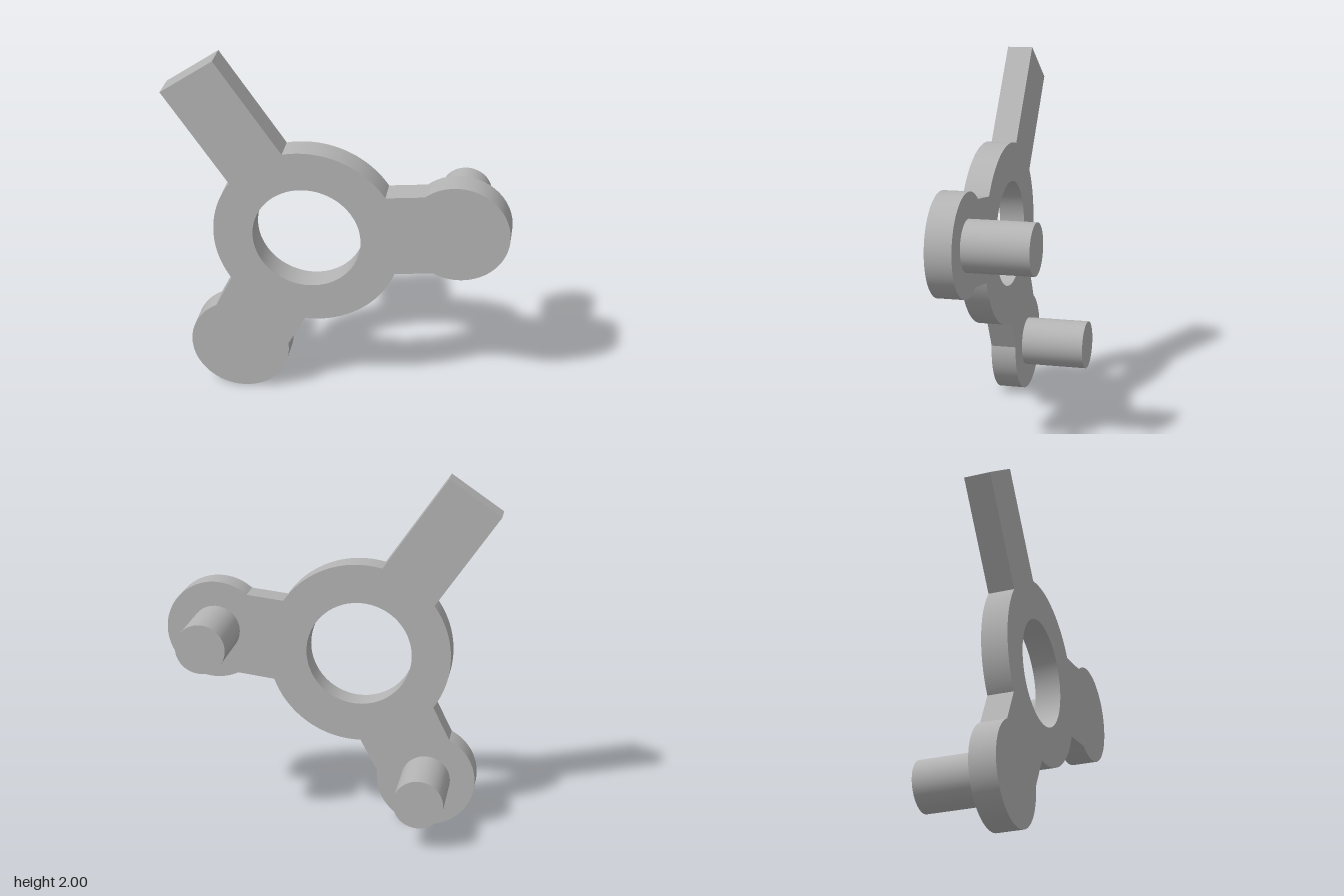
import * as THREE from 'three';
import { toCreasedNormals } from 'three/addons/utils/BufferGeometryUtils.js';

const BACK = 0.108, FRONT = 0.252, PIN_END = -0.252;
const ring = { x: -0.165, y: 1.0, r: 0.51, hole: 0.294 };
const lobes = [
  { name: 'left', x: 0.645, y: 1.097, r: 0.277 },
  { name: 'lower', x: -0.55, y: 0.277, r: 0.277 },
];
const PIN_RADIUS = 0.138;

// Counter-clockwise arc on circle c between the directions of two points
function arcBetween(shape, c, from, to) {
  const angle = ([x, y]) => Math.atan2(y - c.y, x - c.x);
  shape.absarc(c.x, c.y, c.r, angle(from), angle(to), false);
}

export function createModel() {
  const model = new THREE.Group();
  model.name = 'threeArmBracket';
  const grey = new THREE.MeshStandardMaterial({ color: 0xb4b4b4 });
  grey.name = 'plain grey';

  // Flat plate: ring, straight arm and two round-ended arms in one outline
  const outline = new THREE.Shape();
  arcBetween(outline, ring, [0.26, 1.285], [-0.29, 1.495]);
  outline.lineTo(-0.64, 2.0);
  outline.lineTo(-0.926, 1.805);
  arcBetween(outline, ring, [-0.58, 1.3], [-0.585, 0.71]);
  arcBetween(outline, lobes[1], [-0.68, 0.525], [-0.273, 0.31]);
  arcBetween(outline, ring, [-0.178, 0.49], [0.31, 0.825]);
  arcBetween(outline, lobes[0], [0.52, 0.85], [0.465, 1.308]);
  outline.closePath();

  // Central opening
  const hole = new THREE.Path();
  hole.absarc(ring.x, ring.y, ring.hole, 0, Math.PI * 2, true);
  outline.holes.push(hole);

  const plateGeometry = toCreasedNormals(
    new THREE.ExtrudeGeometry(outline, { depth: FRONT - BACK, bevelEnabled: false, curveSegments: 48 }),
    Math.PI / 9
  );
  const plate = new THREE.Mesh(plateGeometry, grey);
  plate.name = 'plate';
  plate.position.z = BACK;
  model.add(plate);

  // Round pins on the back of both lobes
  const length = BACK - PIN_END;
  const pinGeometry = new THREE.CylinderGeometry(PIN_RADIUS, PIN_RADIUS, length, 48);
  pinGeometry.rotateX(Math.PI / 2);
  for (const lobe of lobes) {
    const pin = new THREE.Mesh(pinGeometry, grey);
    pin.name = lobe.name + 'Pin';
    pin.position.set(lobe.x, lobe.y, PIN_END + length / 2);
    model.add(pin);
  }
  return model;
}
